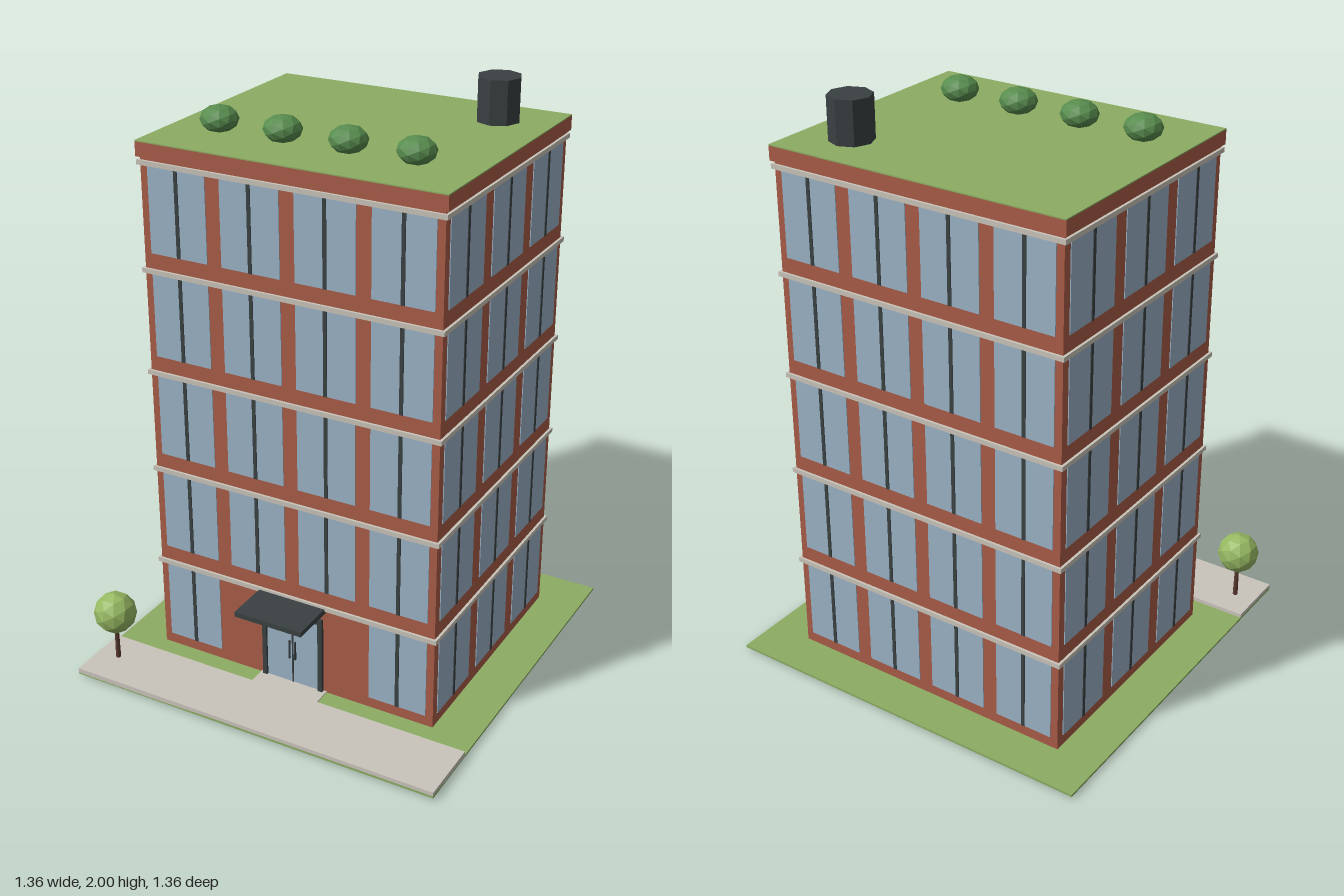
import * as THREE from 'three';

const mat = (name, color, flatShading = false) => {
  const m = new THREE.MeshStandardMaterial({ color, flatShading });
  m.name = name;
  return m;
};

export function createModel() {
  const brick = mat('brick', 0xa85b47);
  const glass = mat('glass', 0x9ab1c5);
  const dark = mat('dark metal', 0x3a4042, true);
  const trim = mat('pale trim', 0xc9c3b8);
  const paving = mat('paving', 0xcac4bb);
  const grass = mat('grass', 0x8cad62);
  const bushGreen = mat('bush green', 0x588c4e, true);
  const leafGreen = mat('leaf green', 0x96b862, true);
  const bark = mat('bark', 0x5c3b30);

  const model = new THREE.Group();
  model.name = 'apartmentBuilding';

  const add = (parent, name, geometry, material, x, y, z) => {
    const mesh = new THREE.Mesh(geometry, material);
    mesh.name = name;
    mesh.position.set(x, y, z);
    parent.add(mesh);
    return mesh;
  };
  // Box given by its lowest and highest corners
  const box = (parent, name, material, [x0, y0, z0], [x1, y1, z1]) =>
    add(parent, name, new THREE.BoxGeometry(x1 - x0, y1 - y0, z1 - z0), material,
      (x0 + x1) / 2, (y0 + y1) / 2, (z0 + z1) / 2);

  const W = 1.052, D = 0.897, CZ = -0.077;   // wall width, depth, centre z
  const FLOORS = 5, STOREY = 0.358;
  const FRONT = CZ + D / 2, BACK = CZ - D / 2;

  // Grounds
  box(model, 'lawn', grass, [-0.68, 0.008, -0.68], [0.68, 0.016, 0.68]);
  box(model, 'sidewalk', paving, [-0.68, 0.012, 0.45], [0.68, 0.03, 0.68]);
  box(model, 'doorstep', paving, [-0.128, 0, 0.36], [0.128, 0.02, 0.465]);

  // Walls and roof
  box(model, 'walls', brick, [-W / 2, 0.012, BACK], [W / 2, 1.81, FRONT]);
  box(model, 'parapet', brick, [-0.537, 1.802, BACK - 0.011], [0.537, 1.85, FRONT + 0.009]);
  box(model, 'roofGarden', grass, [-0.537, 1.85, BACK - 0.011], [0.537, 1.854, FRONT + 0.009]);

  // Stone ledge above each storey
  for (let f = 0; f < FLOORS; f++) {
    const y = 0.344 + f * STOREY;
    box(model, 'ledge', trim, [-0.535, y, BACK - 0.009], [0.535, y + 0.016, FRONT + 0.009]);
  }

  // Window bays: each side is built facing +z, then turned into place
  const facade = (name, width, bays, distance, turn, x, z, doorway) => {
    const side = new THREE.Group();
    side.name = name;
    const pitch = width / bays;
    for (let f = 0; f < FLOORS; f++) {
      for (let b = 0; b < bays; b++) {
        if (doorway && f === 0 && b > 0 && b < bays - 1) continue;
        const bx = (b - (bays - 1) / 2) * pitch;
        const y = 0.2 + f * STOREY;
        add(side, 'windowGlass', new THREE.BoxGeometry(pitch * 0.8, 0.29, 0.006), glass, bx, y, distance);
        add(side, 'windowMullion', new THREE.BoxGeometry(0.013, 0.29, 0.009), dark, bx, y, distance + 0.001);
      }
    }
    side.position.set(x, 0, z);
    side.rotation.y = turn;
    model.add(side);
  };
  facade('frontWindows', W, 4, D / 2, 0, 0, CZ, true);
  facade('backWindows', W, 4, D / 2, Math.PI, 0, CZ, false);
  facade('leftWindows', D, 3, W / 2, Math.PI / 2, 0, CZ, false);
  facade('rightWindows', D, 3, W / 2, -Math.PI / 2, 0, CZ, false);

  // Entrance with two glass leaves and a canopy
  const entrance = new THREE.Group();
  entrance.name = 'entrance';
  model.add(entrance);
  box(entrance, 'doorHeader', dark, [-0.116, 0.286, FRONT - 0.01], [0.116, 0.304, FRONT + 0.013]);
  for (const s of [-1, 1]) {
    add(entrance, 'doorJamb', new THREE.BoxGeometry(0.016, 0.27, 0.023), dark, s * 0.108, 0.153, FRONT + 0.0015);
    add(entrance, 'doorLeaf', new THREE.BoxGeometry(0.097, 0.268, 0.006), glass, s * 0.0515, 0.153, FRONT + 0.002);
    add(entrance, 'doorHandle', new THREE.BoxGeometry(0.004, 0.07, 0.008), dark, s * 0.011, 0.15, FRONT + 0.009);
  }
  box(entrance, 'doorDivider', dark, [-0.003, 0.02, FRONT], [0.003, 0.287, FRONT + 0.007]);
  box(entrance, 'canopy', dark, [-0.126, 0.334, FRONT - 0.005], [0.126, 0.352, 0.535]);

  // Roof tank and bushes
  add(model, 'roofTank', new THREE.CylinderGeometry(0.073, 0.073, 0.15, 8), dark, 0.355, 1.925, -0.36);
  for (let i = 0; i < 4; i++) {
    add(model, 'roofBush', new THREE.IcosahedronGeometry(0.063, 1), bushGreen, -0.37 + i * 0.231, 1.889, 0.155)
      .scale.y = 0.7;
  }

  // Street tree
  const tree = new THREE.Group();
  tree.name = 'streetTree';
  tree.position.set(-0.602, 0, 0.555);
  model.add(tree);
  add(tree, 'trunk', new THREE.CylinderGeometry(0.007, 0.009, 0.14, 6), bark, 0, 0.095, 0);
  add(tree, 'crown', new THREE.IcosahedronGeometry(0.074, 1), leafGreen, 0, 0.212, 0);

  return model;
}
